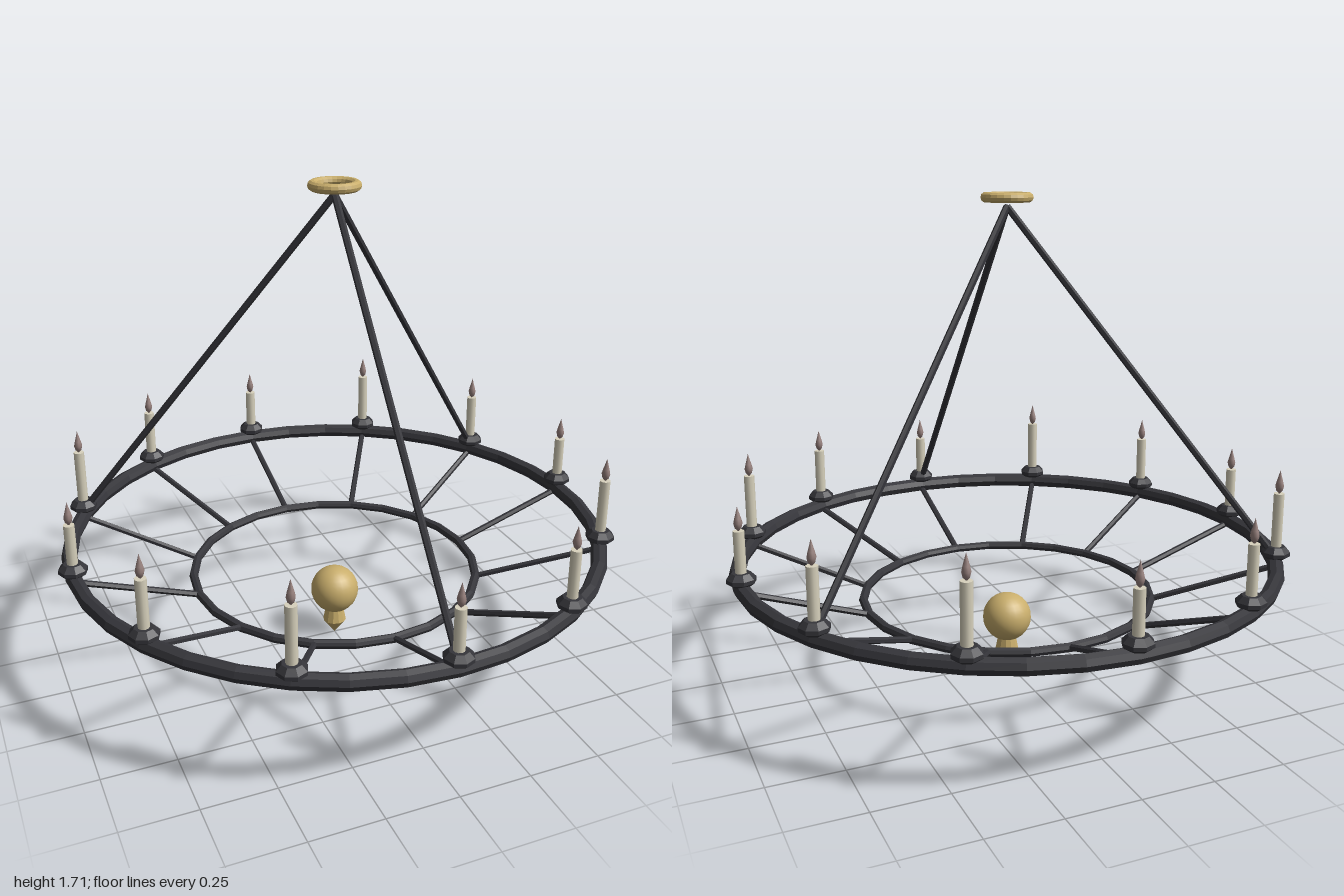
import * as THREE from 'three';

const material = (name, color) => Object.assign(new THREE.MeshStandardMaterial({ color }), { name });

// Faceted normals for the low-poly ironwork
function faceted(geometry) {
  const flat = geometry.toNonIndexed();
  flat.computeVertexNormals();
  return flat;
}

function lathe(points, sides) {
  return new THREE.LatheGeometry(points.map(([r, y]) => new THREE.Vector2(r, y)), sides);
}

export function createModel() {
  const iron = material('dark iron', 0x35353a);
  const brass = material('brass', 0xc9ae6c);
  const wax = material('ivory wax', 0xd8d2bd);
  const flameTint = material('flame', 0x9a8480);

  const model = new THREE.Group();
  model.name = 'chandelier';

  function add(name, geometry, mat, parent = model) {
    const mesh = new THREE.Mesh(geometry, mat);
    mesh.name = name;
    parent.add(mesh);
    return mesh;
  }

  function ring(name, radius, tube, y, mat, sides, segments) {
    const geometry = new THREE.TorusGeometry(radius, tube, sides, segments).rotateX(-Math.PI / 2);
    add(name, faceted(geometry), mat).position.y = y;
  }

  // Straight round bar between two points
  function bar(name, from, to, radius) {
    const direction = to.clone().sub(from);
    const geometry = faceted(new THREE.CylinderGeometry(radius, radius, direction.length(), 6));
    const mesh = add(name, geometry, iron);
    mesh.position.copy(from).add(to).multiplyScalar(0.5);
    mesh.quaternion.setFromUnitVectors(new THREE.Vector3(0, 1, 0), direction.normalize());
  }

  // Point at an angle measured from the front towards the left side
  const polar = (radius, angle, y) =>
    new THREE.Vector3(radius * Math.sin(angle), y, radius * Math.cos(angle));

  // Rings
  ring('outerRing', 0.95, 0.028, 0.435, iron, 8, 36);
  ring('innerRing', 0.52, 0.016, 0.28, iron, 8, 24);
  ring('ceilingRing', 0.073, 0.017, 1.69, brass, 10, 24);

  // Three hanging rods meeting under the ceiling ring
  for (let i = 0; i < 3; i++) {
    bar('hangingRod', polar(0.95, i * Math.PI * 2 / 3, 0.455), new THREE.Vector3(0, 1.66, 0), 0.012);
  }

  // Twelve spokes and candles, with candle heights stepping in threes
  const cupGeometry = faceted(lathe(
    [[0, 0.452], [0.035, 0.455], [0.05, 0.466], [0.05, 0.479], [0.032, 0.498], [0, 0.498]], 8));
  const flameGeometry = lathe(
    [[0, 0], [0.011, 0.012], [0.015, 0.028], [0.011, 0.045], [0.005, 0.066], [0, 0.085]], 8);
  for (let i = 0; i < 12; i++) {
    const angle = i * Math.PI / 6;
    bar('spoke', polar(0.95, angle, 0.425), polar(0.52, angle, 0.28), 0.011);

    const candle = new THREE.Group();
    candle.name = 'candle';
    candle.position.copy(polar(0.95, angle, 0));
    model.add(candle);
    const top = 0.642 + (i % 3) * 0.024;
    add('candleCup', cupGeometry, iron, candle);
    const height = top - 0.49;
    add('candleStick', new THREE.CylinderGeometry(0.019, 0.019, height, 10), wax, candle)
      .position.y = 0.49 + height / 2;
    add('flame', flameGeometry, flameTint, candle).position.y = top - 0.002;
  }

  // Hanging ball with pointed finial
  add('ball', new THREE.SphereGeometry(0.088, 24, 16), brass).position.y = 0.187;
  add('finial', faceted(lathe([[0, 0], [0.043, 0.058], [0.032, 0.112], [0, 0.112]], 12)), brass);

  return model;
}
